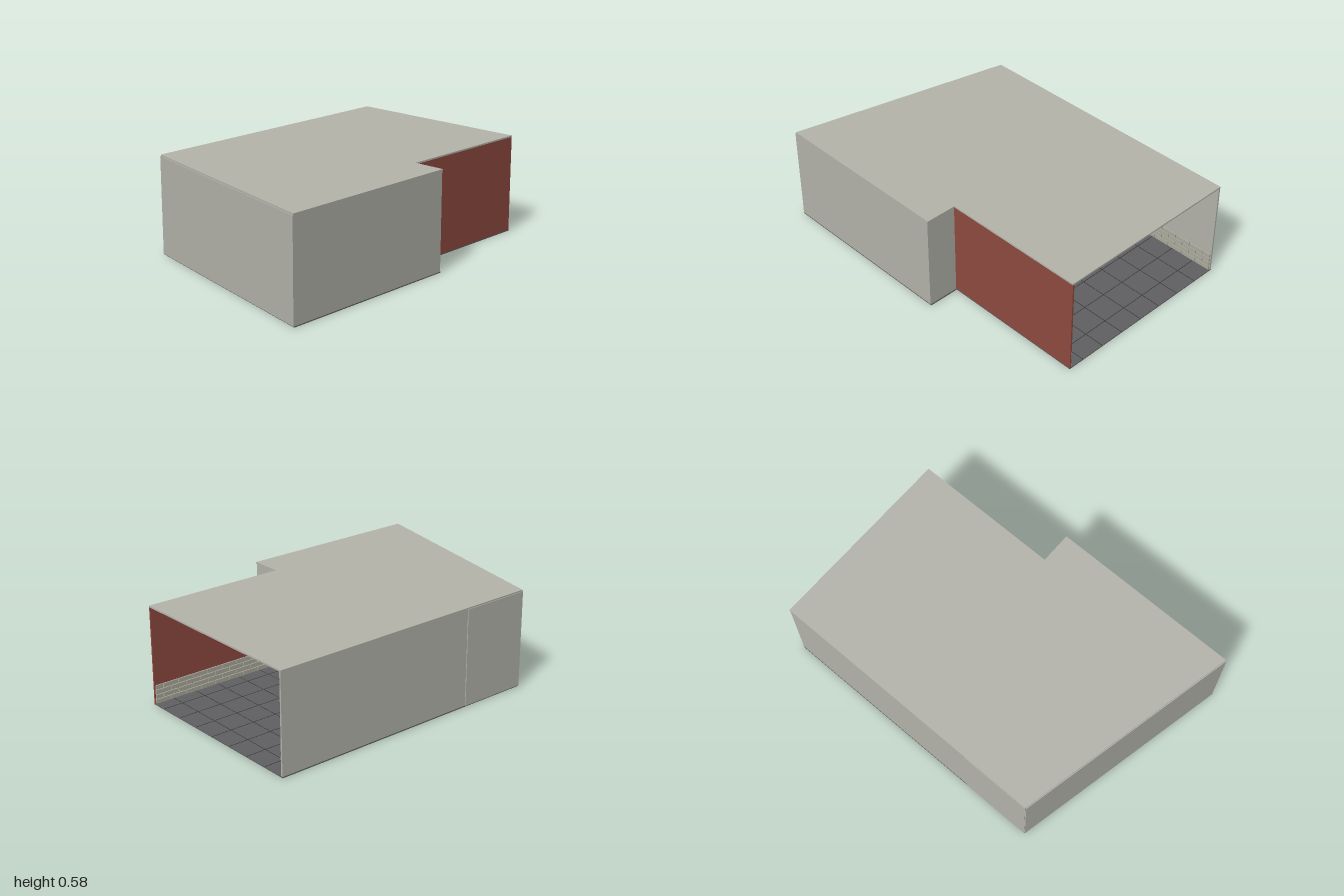
import * as THREE from 'three';

const material = (name, color) => {
  const m = new THREE.MeshStandardMaterial({ color });
  m.name = name;
  return m;
};

export function createModel() {
  const plaster = material('plaster', 0xb3b3aa);
  const red = material('redPaint', 0x8e4a40);
  const floorGrey = material('floorGrey', 0x606062);
  const dark = material('darkGrey', 0x3a3a3a);
  const brickGrey = material('brickGrey', 0xaaa99c);
  const room = new THREE.Group();
  room.name = 'room';

  const add = (name, geometry, mat, parent = room) => {
    const mesh = new THREE.Mesh(geometry, mat);
    mesh.name = name;
    parent.add(mesh);
    return mesh;
  };
  const group = (name) => {
    const g = new THREE.Group();
    g.name = name;
    room.add(g);
    return g;
  };
  // Upright prism over a plan outline given as [x, z] points
  const prism = (name, points, y0, y1, mat) => {
    const shape = new THREE.Shape(points.map(([x, z]) => new THREE.Vector2(x, -z)));
    const geo = new THREE.ExtrudeGeometry(shape, { depth: y1 - y0, bevelEnabled: false });
    geo.rotateX(-Math.PI / 2).translate(0, y0, 0);
    return add(name, geo, mat);
  };
  const box = (name, size, pos, mat, parent) => {
    const mesh = add(name, new THREE.BoxGeometry(...size), mat, parent);
    mesh.position.set(...pos);
    return mesh;
  };

  // Floor and roof slabs share the stepped plan
  const plan = [[-0.667, -1], [0.478, -1], [0.478, -0.133], [0.667, -0.133], [0.667, 0.995], [-0.667, 0.705]];
  const T = 0.01, low = 0.006, high = 0.576;
  prism('floor', plan, 0, 0.006, floorGrey);
  prism('roof', plan, high, 0.585, plaster);

  // Walls; the back stays open
  const frontZ = (x) => 0.71 + (x + 0.667) * 0.217;
  prism('frontWall', [[-0.667, 0.71], [0.667, 1], [0.667, 0.99], [-0.667, 0.7]], low, high, plaster);
  prism('leftWall', [[0.667, -0.128], [0.667, 0.99], [0.657, 0.985], [0.657, -0.128]], low, high, plaster);
  prism('recessWall', [[0.478, -0.128], [0.667, -0.128], [0.667, -0.128 + T], [0.478, -0.128 + T]], low, high, plaster);
  prism('redWall', [[0.468, -1], [0.478, -1], [0.478, -0.12], [0.468, -0.12]], low, high, red);
  prism('rightWallRear', [[-0.665, -1], [-0.655, -1], [-0.655, 0.28], [-0.665, 0.28]], low, high, plaster);
  prism('rightWallFront', [[-0.67, 0.28], [-0.657, 0.28], [-0.657, 0.7], [-0.67, 0.705]], low, high, plaster);

  // Floor tile joints, cut to the plan
  const joints = group('tileJoints');
  const step = 0.15, jointY = 0.0065;
  for (let x = -0.52; x < 0.65; x += step) {
    const z0 = x > 0.468 ? -0.118 : -1;
    const z1 = frontZ(x) - 0.015;
    box('tileJoint', [0.004, 0.001, z1 - z0], [x, jointY, (z0 + z1) / 2], dark, joints);
  }
  for (let z = -0.88; z < 0.98; z += step) {
    const x0 = Math.max(-0.655, -0.667 + (z + 0.015 - 0.71) / 0.217);
    const x1 = z < -0.118 ? 0.468 : 0.657;
    box('tileJoint', [x1 - x0, 0.001, 0.004], [(x0 + x1) / 2, jointY, z], dark, joints);
  }

  // Low brick facing along both long inner walls
  const bricks = group('brickFacing');
  const brickRun = (x, z0, z1) => {
    const length = 0.1, height = 0.024, gap = 0.004;
    for (let row = 0; row < 4; row++) {
      const y = 0.02 + row * (height + gap);
      for (let z = z0 - (row % 2) * length / 2; z < z1; z += length) {
        const a = Math.max(z, z0), b = Math.min(z + length - gap, z1);
        if (b - a > 0.01) box('brick', [0.008, height, b - a], [x, y, (a + b) / 2], brickGrey, bricks);
      }
    }
  };
  brickRun(0.464, -0.995, -0.12);
  brickRun(-0.651, -0.995, 0.28);

  // Ceiling lamps on a regular grid
  const lamps = group('ceilingLamps');
  const disc = new THREE.CylinderGeometry(0.009, 0.009, 0.004, 12);
  for (let z = -0.9; z < 0.8; z += 0.265) {
    for (const x of [-0.5, -0.24, 0.02, 0.28, 0.54]) {
      if (x > 0.47 && z < -0.1) continue;
      if (z > frontZ(x) - 0.04) continue;
      add('ceilingLamp', disc, dark, lamps).position.set(x, high - 0.002, z);
    }
  }
  // Small hanging spotlights beside the right wall
  const spot = new THREE.CylinderGeometry(0.007, 0.01, 0.03, 12);
  for (const z of [-0.63, -0.38, -0.1, 0.17]) {
    add('spotlight', spot, plaster, lamps).position.set(-0.56, high - 0.015, z);
  }

  // Square air vent with a frame and inner panel
  const vent = group('airVent');
  vent.position.set(-0.09, high - 0.005, -0.49);
  for (const s of [-1, 1]) {
    box('ventFrame', [0.14, 0.01, 0.012], [0, 0, s * 0.064], dark, vent);
    box('ventFrame', [0.012, 0.01, 0.14], [s * 0.064, 0, 0], dark, vent);
  }
  box('ventPanel', [0.085, 0.008, 0.085], [0, 0, 0], floorGrey, vent);

  // Round smoke detector
  const detector = group('smokeDetector');
  detector.position.set(-0.34, high, -0.82);
  add('detectorRing', new THREE.CylinderGeometry(0.028, 0.028, 0.008, 24), dark, detector).position.y = -0.004;
  add('detectorCap', new THREE.CylinderGeometry(0.02, 0.018, 0.012, 24), plaster, detector).position.y = -0.008;

  return room;
}
